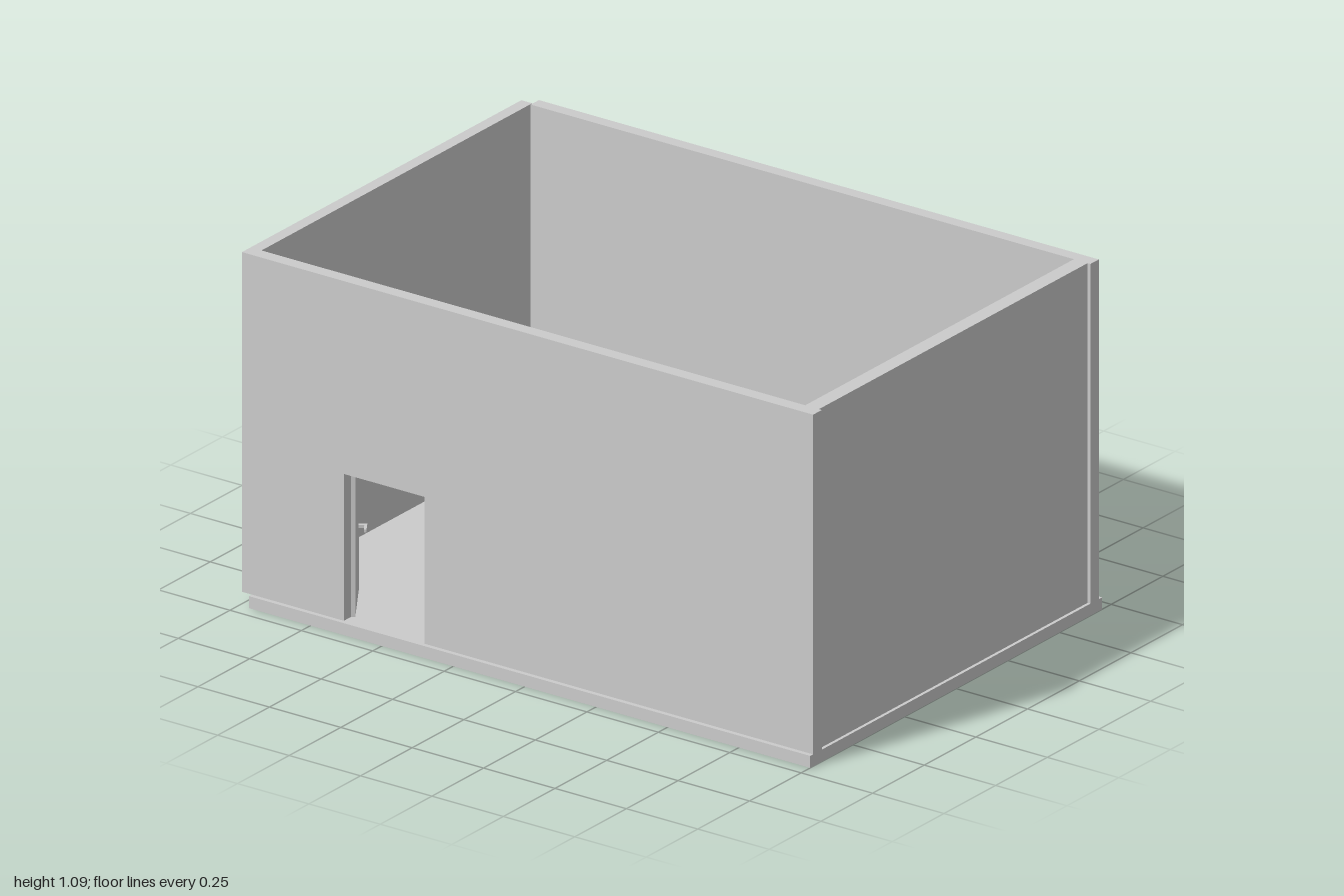
import * as THREE from 'three';

const material = new THREE.MeshStandardMaterial({ color: 0xcccccc, flatShading: true });
const FLOOR = 0.037, TOP = 1.085, DOOR_TOP = 0.49;

// Box given by its minimum and maximum on each axis
function block(name, [x0, x1], [y0, y1], [z0, z1]) {
  const geometry = new THREE.BoxGeometry(x1 - x0, y1 - y0, z1 - z0);
  geometry.translate((x0 + x1) / 2, (y0 + y1) / 2, (z0 + z1) / 2);
  const mesh = new THREE.Mesh(geometry, material);
  mesh.name = name;
  return mesh;
}

// Side wall with a doorway notched out of its lower edge
function doorwayWall() {
  const outline = [
    [-0.962, FLOOR], [-0.643, FLOOR], [-0.643, DOOR_TOP], [-0.36, DOOR_TOP],
    [-0.36, FLOOR], [1, FLOOR], [1, TOP], [-0.962, TOP],
  ];
  const shape = new THREE.Shape(outline.map(([z, y]) => new THREE.Vector2(z, y)));
  const geometry = new THREE.ExtrudeGeometry(shape, { depth: 0.042, bevelEnabled: false });
  geometry.rotateY(-Math.PI / 2).translate(-0.65, 0, 0);
  const mesh = new THREE.Mesh(geometry, material);
  mesh.name = 'doorwayWall';
  return mesh;
}

// Door swung into the room, with a lever handle on both faces
function openDoor() {
  const door = new THREE.Group();
  door.name = 'door';
  door.add(block('doorPanel', [-0.008, 0.21], [0, DOOR_TOP - FLOOR], [-0.0115, 0.0115]));
  for (const side of [-1, 1]) {
    const span = (a, b) => (side > 0 ? [a, b] : [-b, -a]);
    door.add(block('handleStem', [0.173, 0.182], [0.197, 0.207], span(0.011, 0.029)));
    door.add(block('handleLever', [0.14, 0.182], [0.197, 0.207], span(0.028, 0.036)));
  }
  door.position.set(-0.65, FLOOR, -0.647);
  door.rotation.y = THREE.MathUtils.degToRad(33);
  return door;
}

export function createModel() {
  const room = new THREE.Group();
  room.name = 'openRoom';
  const height = [FLOOR, TOP];
  room.add(
    block('floor', [-0.706, 0.706], [0, FLOOR], [-0.965, 1]),
    block('frontWall', [-0.65, 0.65], height, [0.942, 0.99]),
    block('backWall', [-0.692, 0.66], height, [-1, -0.962]),
    block('leftWall', [0.65, 0.69], height, [-0.96, 1]),
    doorwayWall(),
    openDoor(),
  );
  return room;
}
